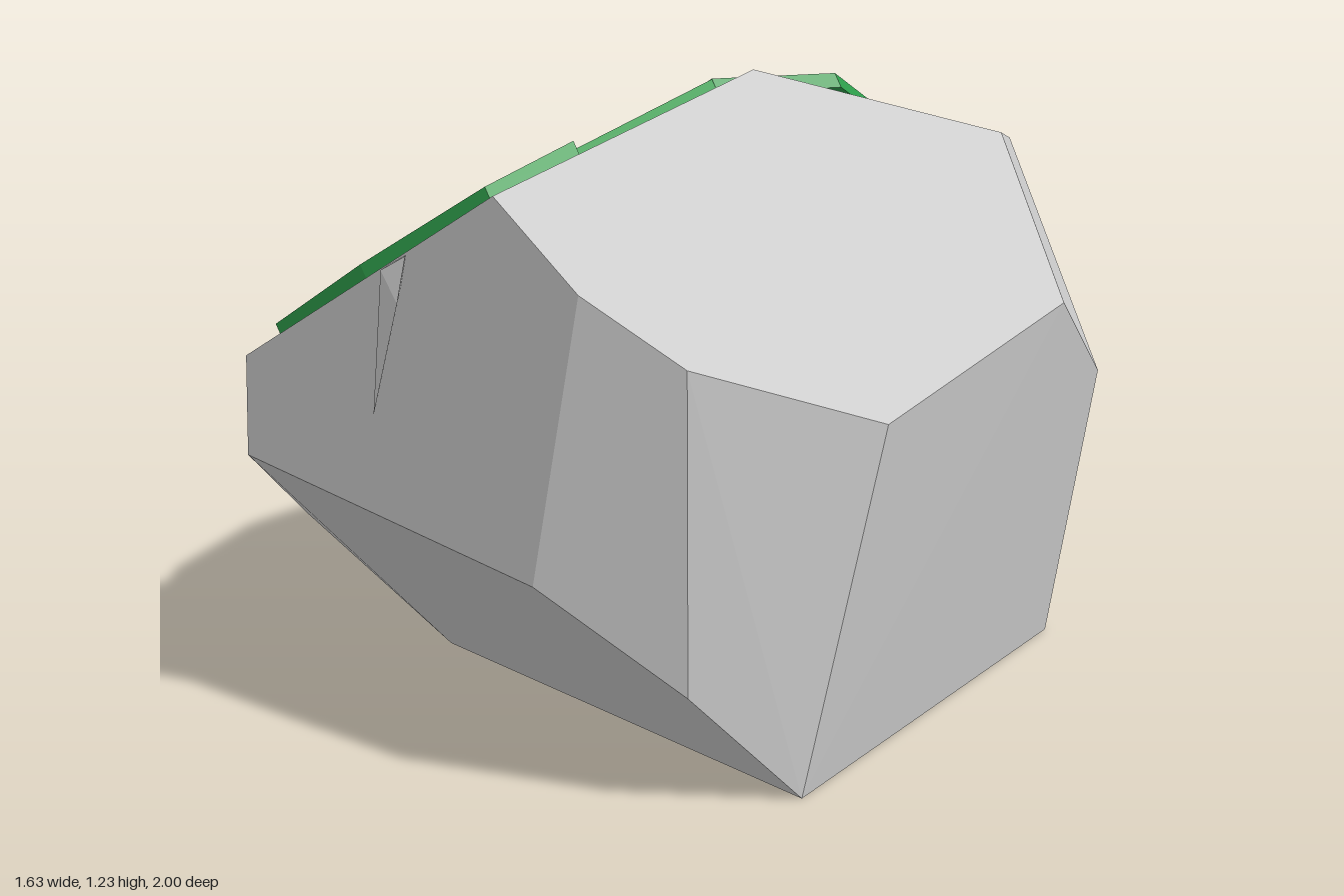
import * as THREE from 'three';
import { ConvexGeometry } from 'three/addons/geometries/ConvexGeometry.js';

const stone = new THREE.MeshStandardMaterial({ color: 0xcccccc, flatShading: true });
const green = new THREE.MeshStandardMaterial({ color: 0x2fa04c, flatShading: true });

const named = (name, geometry, material) => {
  const mesh = new THREE.Mesh(geometry, material);
  mesh.name = name;
  return mesh;
};

// convex solid around a few corner points
const hull = (points) => new ConvexGeometry(points.map((p) => new THREE.Vector3(...p)));

// the two sloping top faces of the boulder that carry the moss
const frontSlope = (x, z) => 1.23 + 0.596 * (x - 0.09) - 0.017 * z;
const backSlope = (x, z) => 1.23 + 0.368 * (x - 0.09) + 0.368 * z;

// thin slab with an outline given in x, z, laid onto a slope
function slab(outline, slope) {
  const shape = new THREE.Shape(outline.map(([x, z]) => new THREE.Vector2(x, -z)));
  const geo = new THREE.ExtrudeGeometry(shape, { depth: 0.036, bevelEnabled: false });
  geo.rotateX(-Math.PI / 2);
  const pos = geo.attributes.position;
  for (let i = 0; i < pos.count; i++) {
    const x = pos.getX(i), z = pos.getZ(i), t = pos.getY(i) - 0.004;
    pos.setXYZ(i, x - 0.42 * t, slope(x, z) + 0.85 * t, z - 0.1 * t);
  }
  geo.computeVertexNormals();
  return geo;
}

export function createModel() {
  const group = new THREE.Group();
  group.name = 'mossyBoulder';

  // boulder corners
  group.add(named('boulder', hull([
    // top and right side
    [0.09, 1.23, 0], [0.57, 1.075, -0.38], [0.76, 0.78, 0.11], [0.815, 0.59, -0.16],
    [0.52, 0.67, 0.8], [0.55, 1.03, -0.74],
    // front
    [0.21, 0.79, 1], [0.02, 0.91, 1], [-0.17, 1.06, 0.89], [0.21, 0.21, 1], [-0.07, 0.39, 1],
    [-0.8, 0.49, 0.61], [-0.8, 0.69, 0.6],
    // back
    [0.44, 1.005, -0.91], [0.39, 0.95, -1], [0.31, 0.48, -1], [-0.46, 0.67, -1],
    [-0.61, 0.65, -0.95], [-0.69, 0.55, -0.88],
    // left side
    [-0.8, 0.52, -0.61], [-0.8, 0.69, -0.32], [-0.68, 0.77, -0.48],
    [-0.8, 0.3, 0.35], [-0.8, 0.18, -0.4], [-0.74, 0.1, -0.51],
    // base
    [0.39, 0, 0.89], [0.72, 0, -0.16], [0.4, 0, -0.71], [-0.29, 0, -0.56], [-0.52, 0, 0.25],
  ]), stone));

  // moss, folded over the crease between the slopes
  const moss = new THREE.Group();
  moss.name = 'moss';
  moss.add(named('mossBack', slab([
    [-0.47, -0.85], [-0.13, -0.71], [0.3, -0.78], [0.225, -0.27], [0, -0.05],
    [-0.66, -0.46], [-0.6, -0.67],
  ], backSlope), green));
  moss.add(named('mossFront', slab([
    [0, -0.05], [-0.19, 0.34], [-0.11, 0.575], [-0.22, 0.76], [-0.49, 0.71], [-0.77, 0.5],
    [-0.715, 0.25], [-0.77, 0.1], [-0.77, -0.28], [-0.66, -0.46],
  ], frontSlope), green));
  group.add(moss);

  // narrow cracks: two mouth corners at the rim, a tip down the side, an inner end under the moss
  const cracks = {
    frontCrack: [[-0.425, 0.905, 0.795], [-0.37, 0.935, 0.81], [-0.38, 0.85, 0.83], [-0.45, 0.63, 0.79], [-0.4, 0.93, 0.72]],
    leftCrack: [[-0.815, 0.69, -0.1], [-0.81, 0.69, -0.02], [-0.8, 0.45, -0.25], [-0.74, 0.74, -0.05]],
    backCrack: [[0.075, 0.865, -1.003], [0.14, 0.885, -1.003], [0, 0.62, -0.998], [0.02, 0.935, -0.74]],
  };
  for (const [name, points] of Object.entries(cracks)) group.add(named(name, hull(points), stone));

  return group;
}
